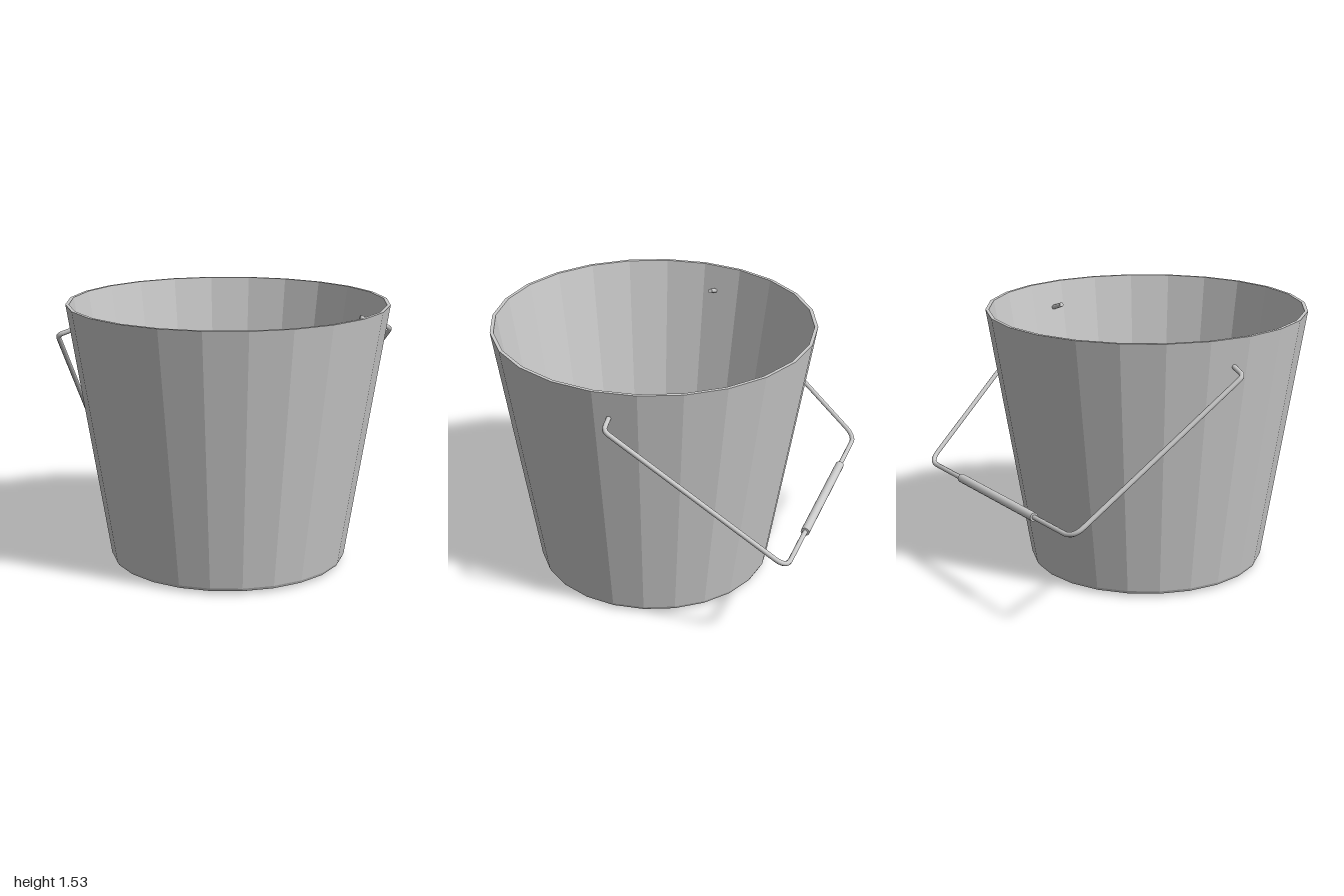
import * as THREE from 'three';

const material = (flat) => new THREE.MeshStandardMaterial({
  color: 0xcccccc, flatShading: flat, side: THREE.DoubleSide,
});

// Tapered thin-walled pail turned from one closed profile
function makePail() {
  const profile = [
    [0, 0], [0.4, 0.002], [0.67, 0.012], [0.685, 0.018], [0.693, 0.035],
    [0.93, 1.53], [0.91, 1.53], [0.672, 0.05], [0.645, 0.03], [0, 0.03],
  ].map(([r, y]) => new THREE.Vector2(r, y));
  const pail = new THREE.Mesh(new THREE.LatheGeometry(profile, 24), material(true));
  pail.name = 'pail';
  pail.position.z = 0.065;
  return pail;
}

// Polyline whose inner corners are rounded by quadratic curves
function roundedPath(points, radii) {
  const path = new THREE.CurvePath();
  let from = points[0];
  for (let i = 1; i < points.length - 1; i++) {
    const corner = points[i];
    const toward = (p) => p.clone().sub(corner).setLength(radii[i - 1]).add(corner);
    const start = toward(points[i - 1]);
    const end = toward(points[i + 1]);
    path.add(new THREE.LineCurve3(from, start));
    path.add(new THREE.QuadraticBezierCurve3(start, corner, end));
    from = end;
  }
  path.add(new THREE.LineCurve3(from, points[points.length - 1]));
  return path;
}

// Bent wire bail with hooked ends, hanging behind the pail
function makeHandle() {
  const handle = new THREE.Group();
  handle.name = 'handle';
  const wireRadius = 0.014;
  const half = [
    [0.79, 1.405, -0.01], [0.978, 1.338, -0.018], [0.77, 0.575, -0.975],
  ];
  const vec = (side) => ([x, y, z]) => new THREE.Vector3(side * x, y, z);
  const points = [...half.map(vec(-1)), ...half.map(vec(1)).reverse()];
  const path = roundedPath(points, [0.03, 0.08, 0.08, 0.03]);

  const wire = new THREE.Mesh(
    new THREE.TubeGeometry(path, 240, wireRadius, 8), material(false));
  wire.name = 'wire';
  handle.add(wire);

  // Discs closing the wire ends inside the pail
  for (const t of [0, 1]) {
    const cap = new THREE.Mesh(new THREE.CircleGeometry(wireRadius, 8), material(false));
    cap.name = 'wireEnd';
    cap.position.copy(path.getPointAt(t));
    const outward = path.getTangentAt(t).multiplyScalar(t ? 1 : -1);
    cap.quaternion.setFromUnitVectors(new THREE.Vector3(0, 0, 1), outward);
    handle.add(cap);
  }

  // Grip sleeve on the crossbar
  const grip = new THREE.Mesh(
    new THREE.CylinderGeometry(0.025, 0.025, 0.79, 12), material(false));
  grip.name = 'grip';
  grip.rotation.z = Math.PI / 2;
  grip.position.set(0, 0.575, -0.975);
  handle.add(grip);
  return handle;
}

export function createModel() {
  const bucket = new THREE.Group();
  bucket.name = 'bucket';
  bucket.add(makePail(), makeHandle());
  return bucket;
}
